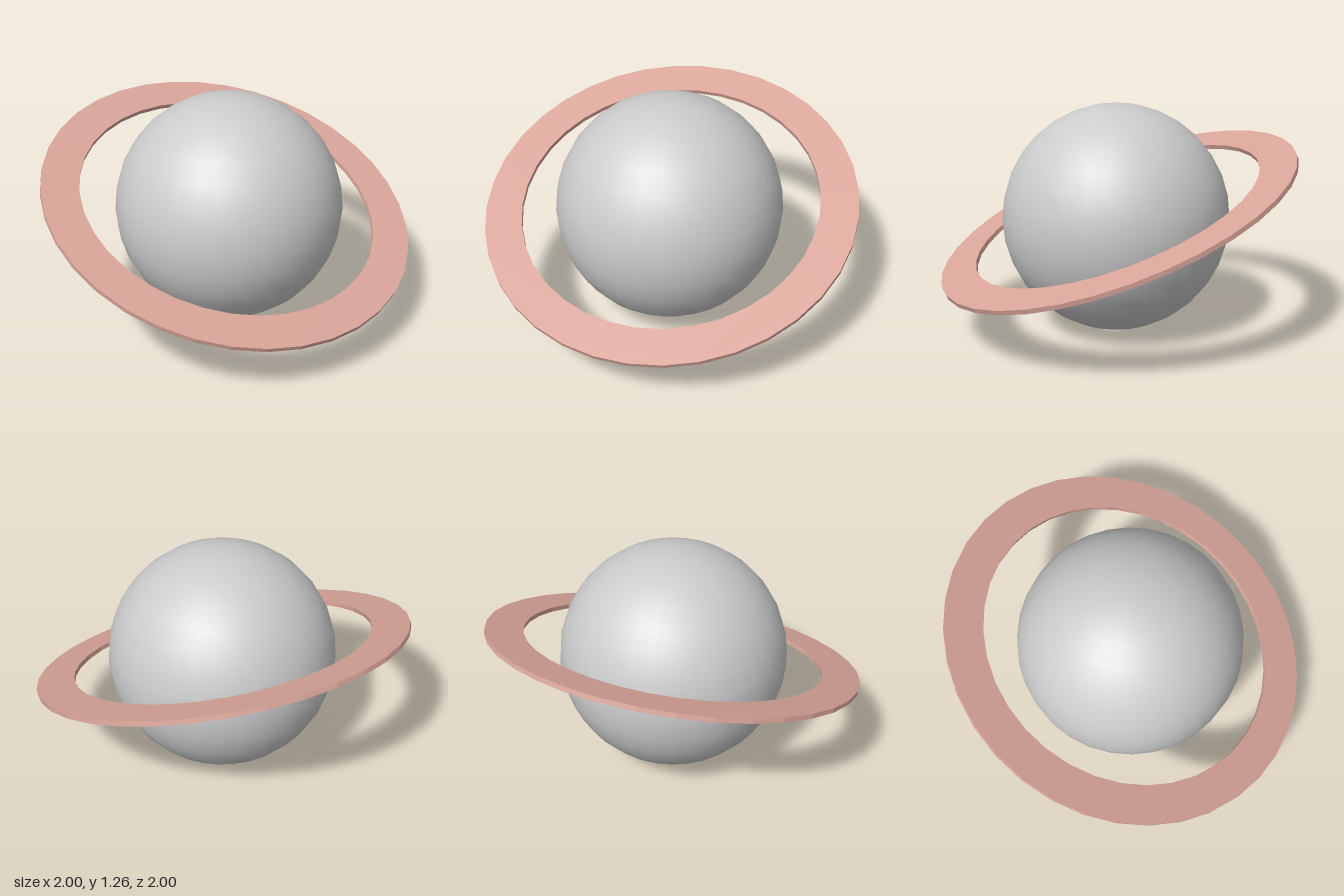
import * as THREE from 'three';

const RING_TILT = THREE.MathUtils.degToRad(15);

export function createModel() {
  const model = new THREE.Group();
  const grey = new THREE.MeshStandardMaterial({ color: 0xcccccc });
  const pink = new THREE.MeshStandardMaterial({ color: 0xd9a59a });

  const add = (name, geometry, material, y) => {
    const mesh = new THREE.Mesh(geometry, material);
    mesh.name = name;
    mesh.position.y = y;
    model.add(mesh);
    return mesh;
  };

  // Round body of the planet
  add('planetBody', new THREE.SphereGeometry(0.624, 32, 16), grey, 0.633);

  // Small flat foot under the south pole
  add('foot', new THREE.CylinderGeometry(0.113, 0.113, 0.03, 32), grey, 0.015);

  // Flat ring: an extruded annulus laid horizontal, then tilted right and forward
  const thickness = 0.025;
  const outline = new THREE.Shape().absarc(0, 0, 1.03, 0, Math.PI * 2);
  outline.holes.push(new THREE.Path().absarc(0, 0, 0.825, 0, Math.PI * 2, true));
  const annulus = new THREE.ExtrudeGeometry(outline, {
    depth: thickness, bevelEnabled: false, curveSegments: 18,
  });
  annulus.translate(0, 0, -thickness / 2).rotateX(-Math.PI / 2);
  const ring = add('ring', annulus, pink, 0.655);
  ring.rotation.set(RING_TILT, 0, -RING_TILT, 'ZYX');

  return model;
}
